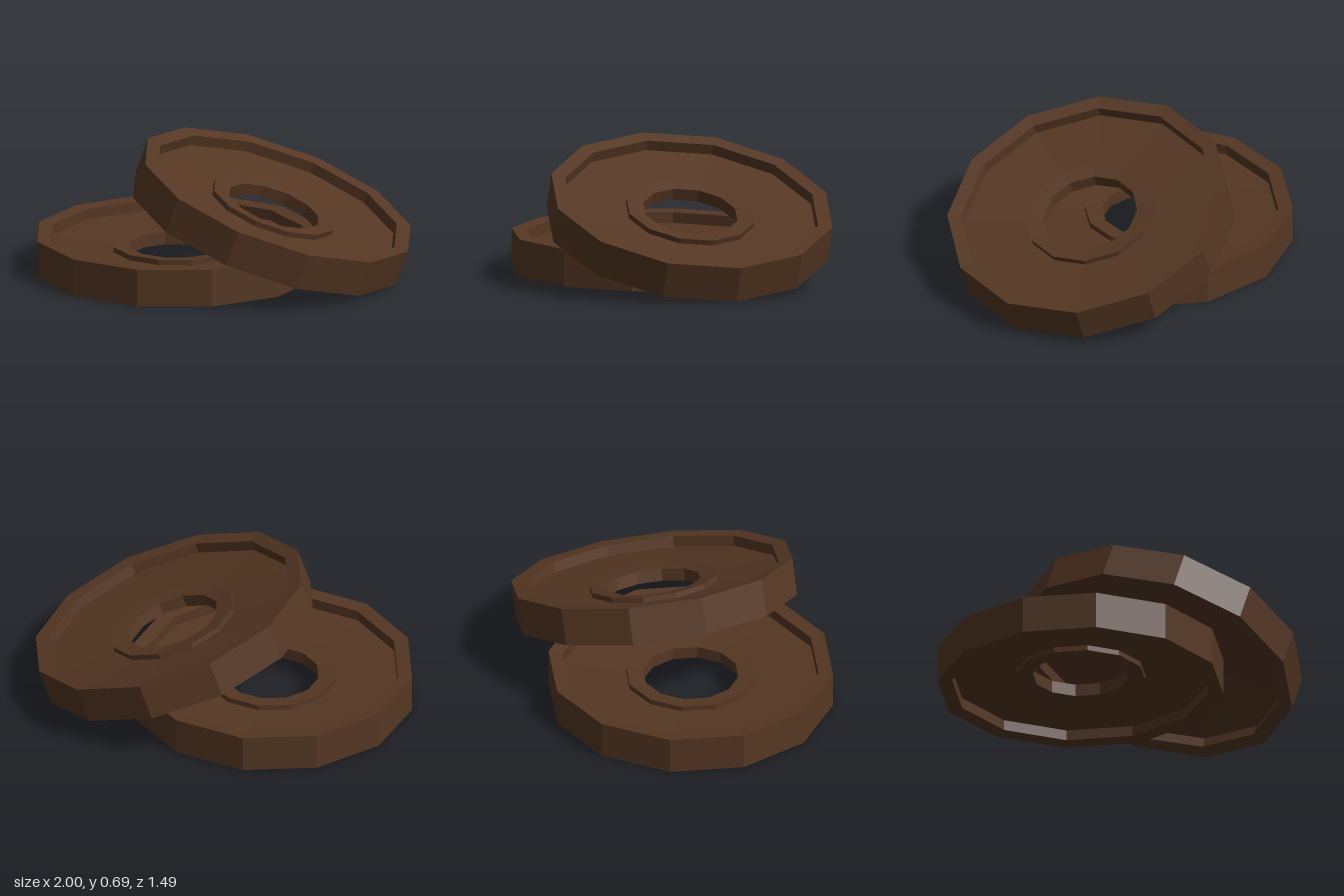
import * as THREE from 'three';

export function createModel() {
  const group = new THREE.Group();
  const brown = new THREE.MeshStandardMaterial({ color: 0x553723 });
  brown.name = 'darkBrown';

  // Upper half of the section: rim, recessed sloping web, low hub, bore
  const upper = [
    [0.747, 0.0985], [0.672, 0.09], [0.672, 0.034],
    [0.34, 0.0145], [0.34, 0.0425], [0.25, 0.0325],
  ];
  // Mirror it for the underside and close the loop
  const lower = upper.map(([r, y]) => [r, -y]).reverse();
  const profile = [...upper, ...lower, upper[0]].map(([r, y]) => new THREE.Vector2(r, y));

  // Twelve-sided faceted disc
  const disc = new THREE.LatheGeometry(profile, 12).toNonIndexed();
  disc.computeVertexNormals();

  function addPlate(name, x, y, tilt) {
    const plate = new THREE.Mesh(disc, brown);
    plate.name = name;
    plate.position.set(x, y, 0);
    plate.rotation.z = tilt;
    group.add(plate);
  }

  // One plate lies flat, the other leans on its edge
  addPlate('flatPlate', -0.253, 0.0985, 0);
  addPlate('leaningPlate', 0.26, 0.35, THREE.MathUtils.degToRad(-19.6));

  return group;
}
